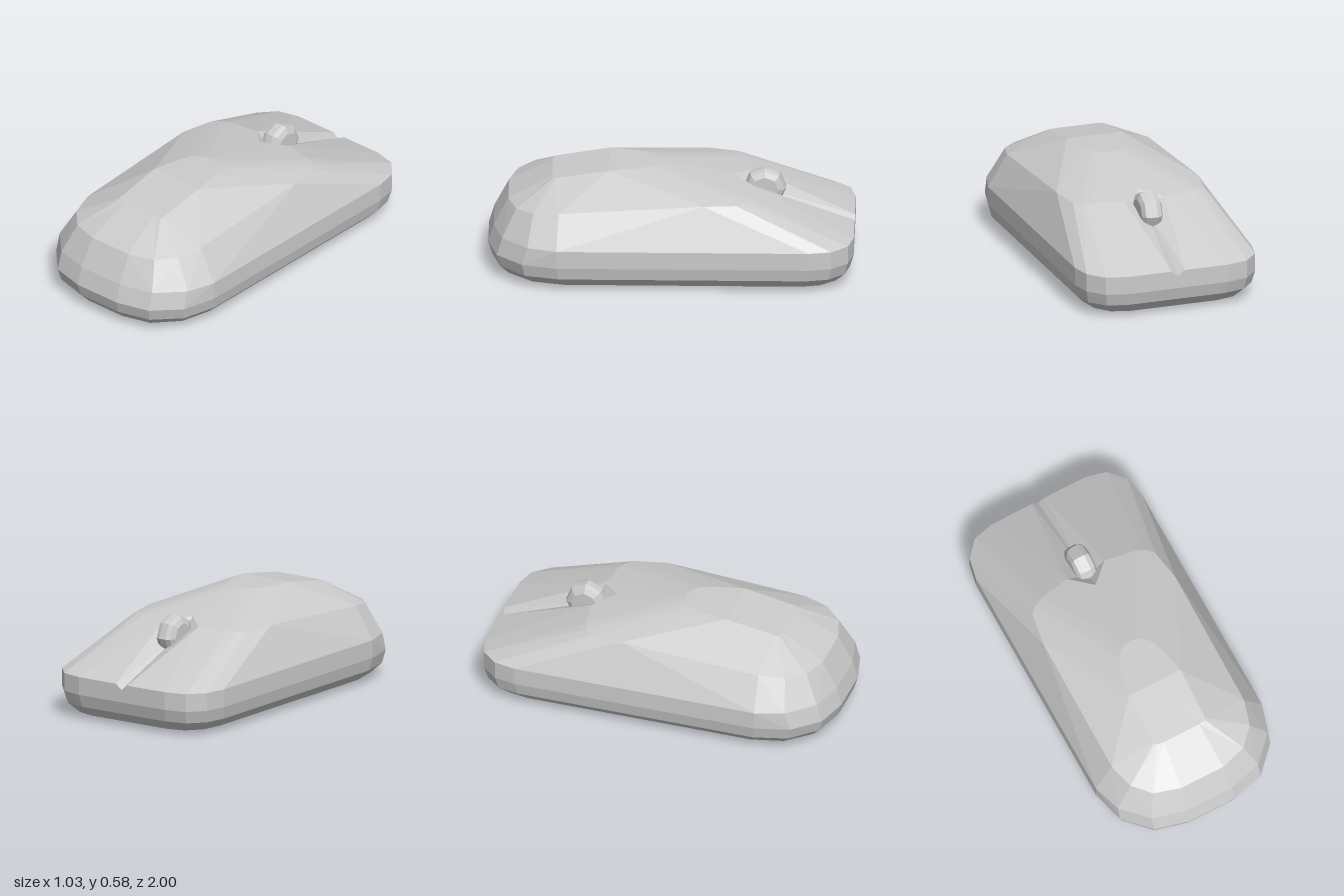
import * as THREE from 'three';

const material = new THREE.MeshStandardMaterial({ color: 0xcccccc, flatShading: true });

// Half outline in plan [x, z], from the back centre round to the front
const outline = [
  [0, -1], [0.04, -1], [0.29, -1], [0.41, -0.97], [0.49, -0.88], [0.515, -0.76],
  [0.515, 0.62], [0.465, 0.81], [0.33, 0.95], [0.14, 1],
];

// Half ring where the side walls end and the top deck begins
const shoulder = [
  [0, 0.43, -0.43], [0.115, 0.475, -0.45], [0.29, 0.475, -0.42], [0.34, 0.472, -0.4], [0.38, 0.468, -0.36],
  [0.41, 0.475, -0.18], [0.41, 0.425, 0.61], [0.37, 0.41, 0.75], [0.28, 0.4, 0.845], [0.13, 0.4, 0.89],
];

// Half ring round the highest part of the back
const crown = [
  [0, 0.578, 0.06], [0.03, 0.578, 0.065], [0.07, 0.578, 0.085], [0.1, 0.578, 0.12], [0.13, 0.578, 0.2],
  [0.16, 0.578, 0.34], [0.157, 0.53, 0.63], [0.15, 0.527, 0.645], [0.11, 0.526, 0.65], [0.05, 0.526, 0.65],
];

const level = (y, sx, sz) => outline.map(([x, z]) => [x * sx, y, z * sz]);

// Complete a half ring by mirroring it across x = 0
function fullRing(half) {
  const mirrored = half.slice(1).reverse().map(([x, y, z]) => [-x, y, z]);
  return [...half, ...mirrored].map((p) => new THREE.Vector3(...p));
}

// Skin a stack of rings, closing it with a fan at each end
function skinRings(rings, bottomCentre, topCentre) {
  const positions = [];
  const tri = (a, b, c) => {
    const n = b.clone().sub(a).cross(c.clone().sub(a));
    if (n.lengthSq() < 1e-12) return;
    for (const p of [a, b, c]) positions.push(p.x, p.y, p.z);
  };
  const count = rings[0].length;
  for (let i = 0; i < count; i++) {
    const j = (i + 1) % count;
    for (let k = 0; k < rings.length - 1; k++) {
      const [a, b, c, d] = [rings[k][i], rings[k + 1][i], rings[k + 1][j], rings[k][j]];
      const n = b.clone().sub(a).cross(c.clone().sub(a));
      // Split each quad along its outward-bulging diagonal
      if (n.dot(d.clone().sub(a)) <= 0) {
        tri(a, b, c);
        tri(a, c, d);
      } else {
        tri(a, b, d);
        tri(b, c, d);
      }
    }
    const top = rings[rings.length - 1];
    tri(bottomCentre, rings[0][i], rings[0][j]);
    tri(topCentre, top[j], top[i]);
  }
  const geometry = new THREE.BufferGeometry();
  geometry.setAttribute('position', new THREE.Float32BufferAttribute(positions, 3));
  geometry.computeVertexNormals();
  return geometry;
}

function createShell() {
  // Upper rim leans in at the front and dips at the groove
  const rim = outline.map(([x, z], i) => [x, i === 0 ? 0.215 : 0.245, i > 6 ? z - 0.03 : z]);
  // Same as the shoulder, but with the pointed end of the wheel groove
  const lip = [[0, 0.499, -0.34], ...shoulder.slice(1)];
  const halves = [
    level(0, 0.73, 0.855), level(0.02, 0.865, 0.93), level(0.075, 0.97, 0.98), level(0.145, 1, 1),
    rim, shoulder, lip, crown,
  ];
  const geometry = skinRings(
    halves.map(fullRing), new THREE.Vector3(0, 0, 0), new THREE.Vector3(0, 0.578, 0.34));
  const shell = new THREE.Mesh(geometry, material);
  shell.name = 'shell';
  return shell;
}

function createScrollWheel() {
  const profile = [
    [0, -0.06], [0.075, -0.06], [0.105, -0.045], [0.115, -0.02],
    [0.115, 0.02], [0.105, 0.045], [0.075, 0.06], [0, 0.06],
  ].map(([r, h]) => new THREE.Vector2(r, h));
  const wheel = new THREE.Mesh(new THREE.LatheGeometry(profile, 8), material);
  wheel.name = 'scrollWheel';
  wheel.rotation.z = Math.PI / 2;
  wheel.position.set(0, 0.425, -0.51);
  return wheel;
}

export function createModel() {
  const group = new THREE.Group();
  group.name = 'computerMouse';
  group.add(createShell(), createScrollWheel());
  return group;
}
